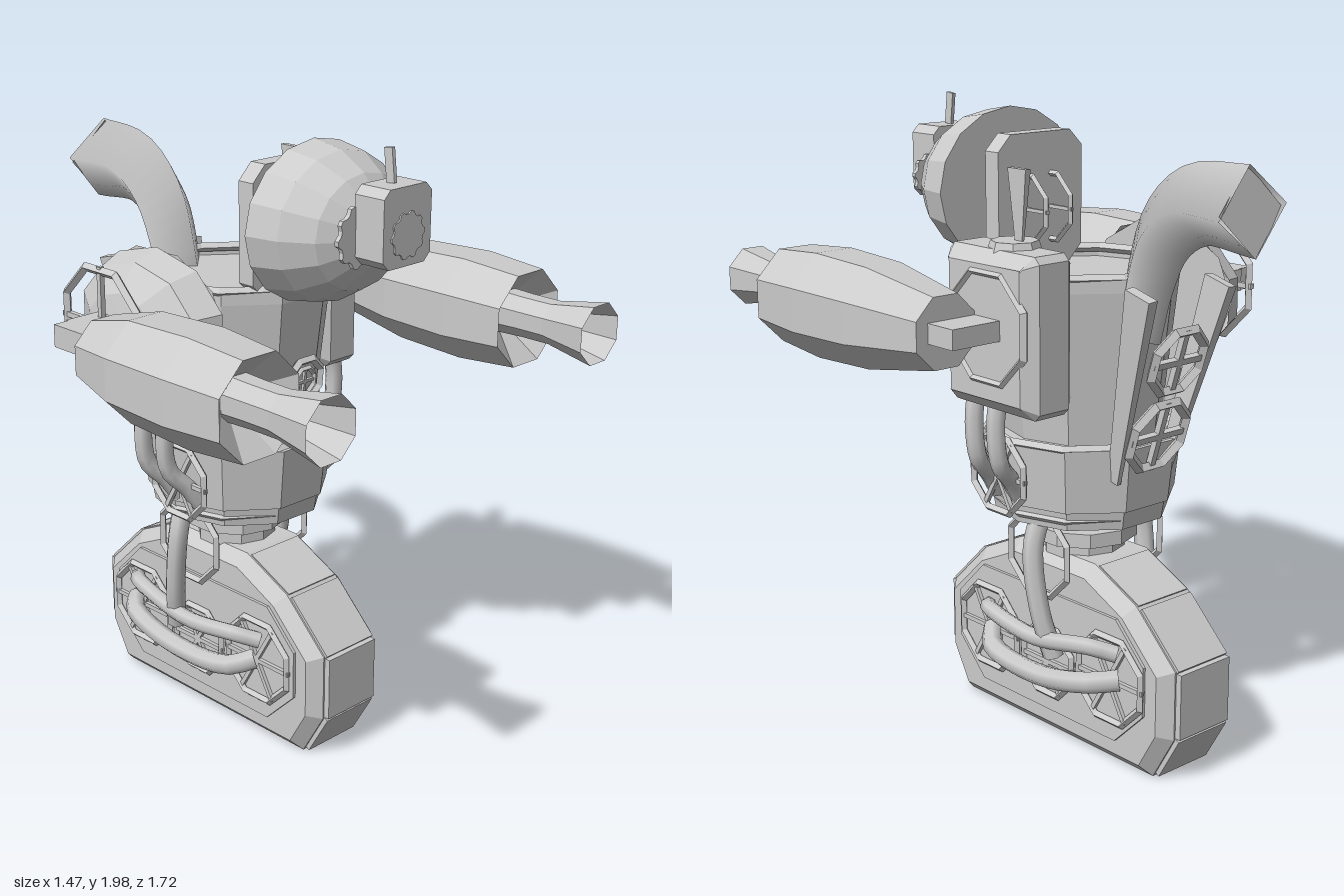
import * as THREE from 'three';

const mat = new THREE.MeshStandardMaterial({ color: 0xcccccc, flatShading: true, side: THREE.DoubleSide });
const smooth = new THREE.MeshStandardMaterial({ color: 0xcccccc, side: THREE.DoubleSide });
const V = (p) => new THREE.Vector3(...p);
const CX = 0.02; // middle of the body and track

export function createModel() {
  const root = new THREE.Group();

  function add(name, geo, pos = [0, 0, 0], rot = [0, 0, 0], parent = root, m = mat) {
    const mesh = new THREE.Mesh(geo, m);
    mesh.name = name;
    mesh.position.set(...pos);
    mesh.rotation.set(...rot);
    parent.add(mesh);
    return mesh;
  }
  const box = (name, size, pos, rot, parent) => add(name, new THREE.BoxGeometry(...size), pos, rot, parent);
  const hose = (name, pts, r) =>
    add(name, new THREE.TubeGeometry(new THREE.CatmullRomCurve3(pts.map(V)), 14, r, 7), [0, 0, 0], [0, 0, 0], root, smooth);

  // Turned part whose profile is [radius, distance along +z]
  function turned(name, profile, sides, pos, rot) {
    const g = new THREE.LatheGeometry(profile.map((p) => new THREE.Vector2(...p)), sides);
    return add(name, g.rotateY(Math.PI / sides).rotateX(Math.PI / 2), pos, rot);
  }

  // Octagonal ring with spokes, lying in its local xy plane
  function spokedRing(name, r, t, spokes, pos, rot) {
    const g = new THREE.Group();
    g.name = name;
    g.position.set(...pos);
    g.rotation.set(...rot);
    add('rim', new THREE.TorusGeometry(r, t, 4, 8), [0, 0, 0], [0, 0, Math.PI / 8], g);
    for (let i = 0; i < spokes; i++)
      box('spoke', [2 * r, t * 1.1, t * 1.1], [0, 0, 0], [0, 0, (i * Math.PI) / spokes], g);
    root.add(g);
    return g;
  }

  // Chamfered plate in the xy plane, centred on its depth
  function plate(w, h, c, d, bevel = 0) {
    const s = new THREE.Shape();
    [[-w + c, -h], [w - c, -h], [w, -h + c], [w, h - c], [w - c, h], [-w + c, h], [-w, h - c], [-w, -h + c]]
      .forEach(([x, y], i) => (i ? s.lineTo(x, y) : s.moveTo(x, y)));
    const g = new THREE.ExtrudeGeometry(s, { depth: d - 2 * bevel, bevelEnabled: bevel > 0,
      bevelSize: bevel, bevelOffset: -bevel, bevelThickness: bevel, bevelSegments: 1 });
    return g.translate(0, 0, -d / 2 + bevel);
  }

  function gear(name, r, pos, rot) {
    const s = new THREE.Shape();
    for (let i = 0; i < 40; i++) {
      const a = (i / 40) * Math.PI * 2, q = i % 4 < 2 ? r : r * 0.88;
      s[i ? 'lineTo' : 'moveTo'](Math.cos(a) * q, Math.sin(a) * q);
    }
    add(name, new THREE.ExtrudeGeometry(s, { depth: 0.015, bevelEnabled: false }), pos, rot);
  }

  // Track: chamfered core, tread plates along its outline [z, y]
  const outline = [[0.29, 0.02], [0.375, 0.17], [0.375, 0.39], [0.21, 0.55], [0.03, 0.635], [-0.31, 0.635],
    [-0.49, 0.55], [-0.655, 0.39], [-0.655, 0.17], [-0.57, 0.02]];
  const core = new THREE.Shape(outline.map((p) => new THREE.Vector2(...p)));
  const coreGeo = new THREE.ExtrudeGeometry(core, { depth: 0.22, bevelSize: 0.04, bevelOffset: -0.04, bevelThickness: 0.04, bevelSegments: 1 });
  add('trackCore', coreGeo.rotateY(-Math.PI / 2), [CX + 0.11, 0, 0]);
  outline.forEach(([z0, y0], i) => {
    const [z1, y1] = outline[(i + 1) % outline.length];
    const dz = z1 - z0, dy = y1 - y0, len = Math.hypot(dz, dy), n = Math.max(1, Math.round(len / 0.21));
    for (let k = 0; k < n; k++) {
      const f = (k + 0.5) / n;
      box('treadPlate', [0.21, 0.02, (len / n) * 0.95],
        [CX, y0 + dy * f - (dz / len) * 0.01 * -1, z0 + dz * f + (dy / len) * 0.01], [Math.atan2(-dy, dz), 0, 0]);
    }
  });

  // Track sides: inset panel, wheels, drooping hoses and leg hoses
  for (const s of [-1, 1]) {
    const x = (d) => CX + s * d;
    add('sidePanel', plate(0.43, 0.2, 0.12, 0.03), [x(0.145), 0.31, -0.14], [0, Math.PI / 2, 0]);
    for (const z of [0.13, -0.15, -0.43])
      spokedRing('trackWheel', z === -0.15 ? 0.12 : 0.145, 0.013, 3, [x(0.165), z === -0.15 ? 0.28 : 0.31, z], [0, Math.PI / 2, 0]);
    hose('upperSideHose', [[x(0.16), 0.38, 0.14], [x(0.21), 0.4, 0.08], [x(0.225), 0.38, -0.15], [x(0.21), 0.42, -0.4], [x(0.16), 0.4, -0.46]], 0.027);
    hose('lowerSideHose', [[x(0.16), 0.31, 0.12], [x(0.22), 0.28, 0.05], [x(0.24), 0.27, -0.2], [x(0.22), 0.31, -0.41], [x(0.16), 0.32, -0.47]], 0.034);
    hose('legHose', [[x(0.2), 0.8, -0.17], [x(0.235), 0.68, -0.165], [x(0.23), 0.48, -0.19], [x(0.2), 0.33, -0.22]], 0.033);
    spokedRing('hipRing', 0.14, 0.013, 0, [x(0.2), 0.65, -0.15], [0, Math.PI / 2, 0]);
    spokedRing('waistRing', 0.125, 0.013, 3, [x(0.3), 0.91, -0.08], [0, Math.PI / 2, 0]);
    for (const z of [-0.06, -0.16])
      hose('shoulderHose', [[x(0.35), 1.24, z], [x(0.375), 1.1, z], [x(0.36), 0.97, z], [x(0.3), 0.9, z + 0.02], [x(0.26), 0.84, z + 0.03]], 0.029);
  }

  // Neck and torso
  add('waistPost', new THREE.CylinderGeometry(0.13, 0.13, 0.2, 10), [CX, 0.7, -0.14]);
  add('waistCollar', new THREE.CylinderGeometry(0.17, 0.17, 0.045, 10), [CX + 0.01, 0.7, -0.15]);
  const drum = (name, r1, r0, y1, y0, open) => {
    const m = add(name, new THREE.CylinderGeometry(r1, r0, y1 - y0, 10, 1, open), [CX, (y0 + y1) / 2, -0.13], [0, Math.PI / 10, 0]);
    m.scale.z = 1.07;
    return m;
  };
  drum('torsoBase', 0.27, 0.26, 0.825, 0.76);
  drum('belt', 0.3, 0.28, 1.02, 0.82);
  drum('torso', 0.285, 0.23, 1.5, 0.98);
  drum('torsoLip', 0.285, 0.285, 1.53, 1.49, true);
  for (const [r, y] of [[0.28, 1.53], [0.29, 1.02], [0.26, 0.79]])
    add('torsoRim', new THREE.TorusGeometry(r, 0.015, 4, 10), [CX, y, -0.13], [Math.PI / 2, 0, 0]);

  // Chest dial, gear and pipes
  gear('chestGear', 0.08, [-0.06, 1.2, 0.125], [0.1, -0.15, 0]);
  spokedRing('chestDial', 0.075, 0.014, 0, [0.04, 1.22, 0.15], [0.1, 0, 0]);
  spokedRing('dialCore', 0.045, 0.009, 2, [0.04, 1.22, 0.15], [0.1, 0, 0]);
  for (const y of [1.08, 1.14])
    hose('chestPipe', [[-0.1, y, 0.08], [-0.14, y, 0.11], [-0.21, y + 0.01, 0.07], [-0.25, y + 0.02, 0], [-0.2, y + 0.02, -0.08]], 0.026);

  // Head: half dome, rear panel with loops, face box and antenna
  const dome = new THREE.SphereGeometry(1, 16, 4, 0, Math.PI * 2, 0, Math.PI / 2).rotateX(Math.PI / 2);
  add('headDome', dome, [0.04, 1.735, 0.18]).scale.set(0.28, 0.245, 0.285);
  add('headBack', new THREE.CircleGeometry(1, 16), [0.04, 1.735, 0.18]).scale.set(0.28, 0.245, 1);
  add('headPost', new THREE.CylinderGeometry(0.1, 0.1, 0.1, 8), [0.03, 1.72, 0.14], [Math.PI / 2, 0, 0]);
  add('headPanel', plate(0.17, 0.205, 0.05, 0.06), [0.03, 1.705, 0.08]);
  for (const x of [-0.01, 0.09]) spokedRing('headLoop', 0.11, 0.01, 2, [x, 1.68, 0.06], [0, Math.PI / 2, 0]);
  add('faceBox', plate(0.1, 0.115, 0.025, 0.11), [0.03, 1.785, 0.505]);
  gear('faceGear', 0.095, [-0.045, 1.75, 0.44], [0, 0, 0]);
  gear('faceGear', 0.07, [0.145, 1.75, 0.44], [0, 0, 0]);
  gear('faceDial', 0.07, [0.03, 1.76, 0.55], [0, 0, 0]);
  box('headAntenna', [0.012, 0.1, 0.03], [0.025, 1.95, 0.495], [-0.12, 0, 0]);

  // Round shoulder on the -x side
  const cap = new THREE.SphereGeometry(1, 10, 3, 0, Math.PI * 2, 0, Math.PI / 2).rotateZ(Math.PI / 2);
  add('roundShoulder', cap, [-0.265, 1.415, -0.18], [0, 0.05, 0]).scale.set(0.18, 0.225, 0.29);
  add('shoulderBack', new THREE.CircleGeometry(1, 10).rotateY(Math.PI / 2), [-0.265, 1.415, -0.18], [0, 0.05, 0]).scale.set(1, 0.225, 0.29);
  spokedRing('shoulderRing', 0.18, 0.015, 2, [-0.46, 1.43, -0.21], [0, Math.PI / 2, 0]);
  box('armLink', [0.13, 0.07, 0.14], [-0.49, 1.42, -0.19]);
  box('armLink', [0.11, 0.07, 0.2], [-0.555, 1.42, -0.15]);

  // Square shoulder on the +x side, with antenna
  add('squareShoulder', plate(0.195, 0.235, 0.02, 0.19, 0.04), [0.375, 1.395, -0.2], [0, Math.PI / 2, 0]);
  spokedRing('shoulderRing', 0.17, 0.015, 0, [0.465, 1.41, -0.21], [0, Math.PI / 2, 0]);
  box('armLink', [0.2, 0.06, 0.14], [0.54, 1.41, -0.2]);
  add('antennaBase', new THREE.CylinderGeometry(0.07, 0.08, 0.03, 8), [0.36, 1.635, -0.21]);
  const blade = new THREE.CylinderGeometry(0.055, 0.02, 0.22, 4).rotateY(Math.PI / 4).scale(0.25, 1, 1);
  add('shoulderAntenna', blade, [0.36, 1.745, -0.23]);
  add('shoulderKnob', new THREE.CylinderGeometry(0.025, 0.025, 0.06, 6), [0.33, 1.5, 0.02], [Math.PI / 2, 0, 0]);

  // Arms: octagonal barrels with a recessed muzzle and flared nozzle
  for (const [x, back, nx] of [[-0.575, -0.06, -0.59], [0.575, -0.16, 0.56]]) {
    turned('armBarrel', [[0, back], [0.115, back], [0.165, 0.13], [0.175, 0.38], [0.158, 0.59], [0.06, 0.5]], 8, [x, 1.405, 0]);
    turned('armNozzle', [[0, 0.5], [0.072, 0.5], [0.068, 0.6], [0.068, 0.7], [0.098, 0.865], [0.05, 0.68], [0, 0.68]], 8, [nx, 1.42, 0]);
  }

  // Exhaust: four-cornered pipe widening towards its end
  const path = new THREE.CatmullRomCurve3([[0.02, 1.35, -0.38], [0.02, 1.53, -0.42], [0.035, 1.68, -0.5], [0.05, 1.765, -0.63], [0.06, 1.77, -0.84]].map(V));
  const N = 16, pipe = new THREE.TubeGeometry(path, N, 1, 4), pos = pipe.attributes.position, v = new THREE.Vector3();
  for (let i = 0; i < pos.count; i++) {
    const t = Math.floor(i / 5) / N, c = path.getPointAt(t);
    v.fromBufferAttribute(pos, i).sub(c).multiplyScalar(0.085 + 0.045 * t).add(c);
    pos.setXYZ(i, v.x, v.y, v.z);
  }
  add('exhaustPipe', pipe, [0, 0, 0], [0, 0, 0], root, smooth);
  add('exhaustEnd', new THREE.CircleGeometry(0.128, 4), path.getPointAt(0.99).toArray(), [0.15, 0, 0]);

  // Back: two round vents and a pair of slanted fins
  for (const [y, z, r] of [[1.3, -0.545, 0.105], [1.06, -0.47, 0.115]])
    spokedRing('backVent', r, 0.018, 2, [CX + 0.01, y, z], [-0.3, 0, 0]);
  const fin = new THREE.CylinderGeometry(0.07, 0.03, 0.62, 4).rotateY(Math.PI / 4).scale(0.35, 1, 1);
  for (const s of [-1, 1]) add('backFin', fin, [CX + 0.01 + s * 0.135, 1.22, -0.475], [-0.26, 0, -s * 0.09]);

  return root;
}
